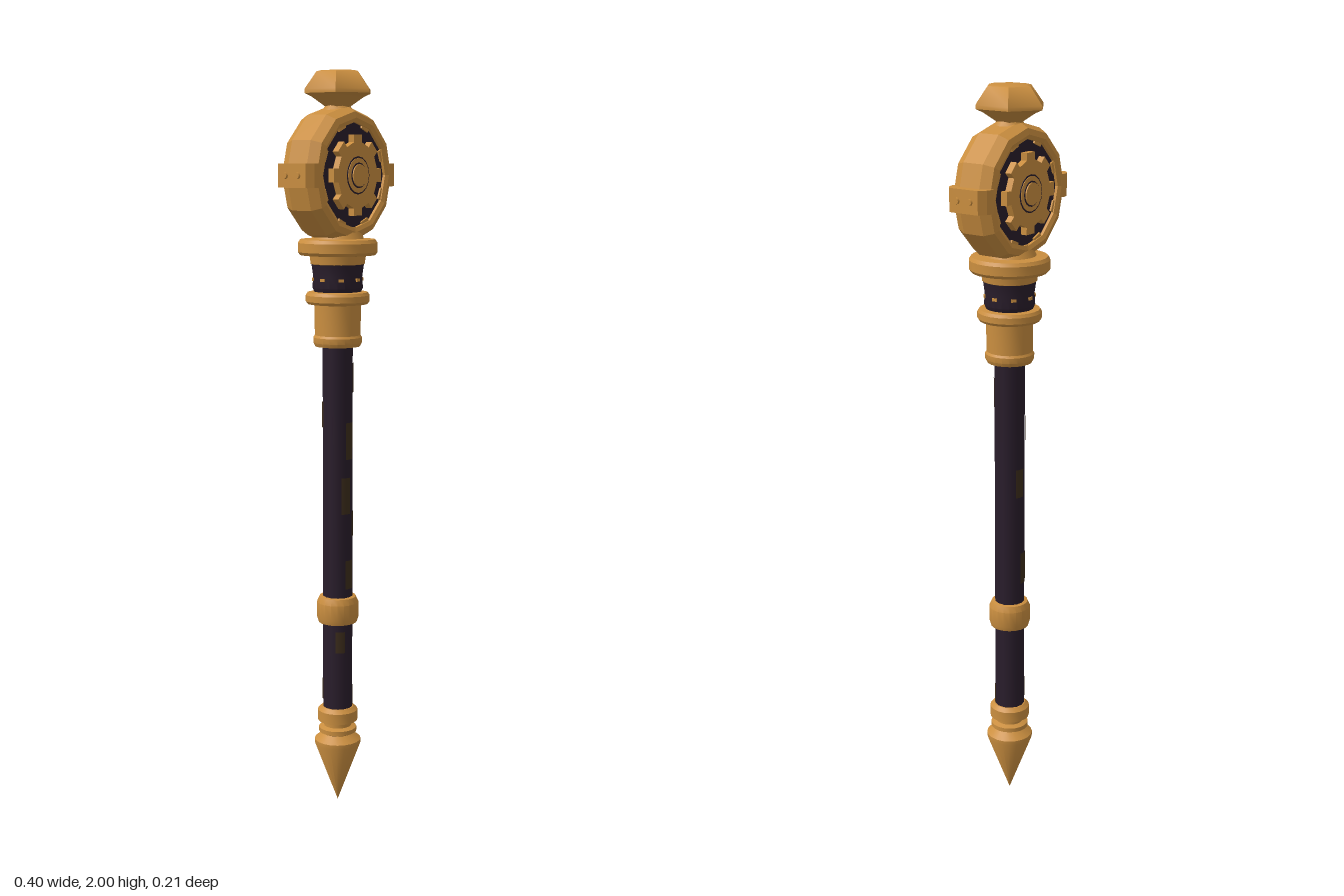
import * as THREE from 'three';
import { toCreasedNormals } from 'three/addons/utils/BufferGeometryUtils.js';

export function createModel() {
  const root = new THREE.Group();
  root.name = 'mace';

  const gold = new THREE.MeshStandardMaterial({ color: 0xcb8f40 });
  gold.name = 'gold';
  const dark = new THREE.MeshStandardMaterial({ color: 0x291d2b });
  dark.name = 'dark purple';
  const brown = new THREE.MeshStandardMaterial({ color: 0x3d2d1c });
  brown.name = 'worn brown';

  const add = (name, geo, mat, parent = root) => {
    const mesh = new THREE.Mesh(geo, mat);
    mesh.name = name;
    parent.add(mesh);
    return mesh;
  };
  // Turned part from [radius, height] points listed bottom to top
  const turned = (pts, sides = 20, crease = 0.5) =>
    toCreasedNormals(new THREE.LatheGeometry(pts.map(p => new THREE.Vector2(...p)), sides), crease);

  // Pointed foot
  add('spike', turned([[0, 0], [0.064, 0.17], [0.064, 0.182], [0.042, 0.2], [0.052, 0.205],
    [0.052, 0.217], [0.038, 0.222], [0.038, 0.232], [0.055, 0.238], [0.055, 0.268], [0.044, 0.278], [0, 0.278]]), gold);

  // Shaft with worn patches: height, length, angle
  add('shaft', turned([[0.041, 0.26], [0.041, 1.3]], 14), dark);
  const patches = [[0.31, 0.06, 0.4], [0.33, 0.06, 3.5], [0.47, 0.06, 5.2], [0.66, 0.08, 5.9], [0.7, 0.09, 3],
    [0.8, 0.07, 0.2], [0.88, 0.1, 5.6], [0.95, 0.08, 2.6], [1.03, 0.1, 5.9], [1.1, 0.07, 3.6], [1.2, 0.08, 0.3]];
  for (const [y, h, a] of patches) {
    const g = new THREE.CylinderGeometry(0.0422, 0.0422, h, 4, 1, true, a, 0.65);
    add('wornPatch', g.translate(0, y, 0), brown);
  }
  add('shaftRing', turned([[0.04, 0.518], [0.053, 0.522], [0.057, 0.535], [0.057, 0.578], [0.05, 0.594], [0.04, 0.596]]), gold);

  // Socket, grip band and round collar beneath the head
  add('socket', turned([[0.038, 1.284], [0.06, 1.284], [0.065, 1.294], [0.065, 1.308], [0.061, 1.314],
    [0.062, 1.395], [0.08, 1.397], [0.085, 1.404], [0.085, 1.42], [0.08, 1.428], [0.06, 1.43]]), gold);
  add('neckBand', turned([[0.062, 1.428], [0.067, 1.44], [0.065, 1.47], [0.07, 1.505]]), dark);
  for (let i = 0; i < 8; i++) {
    const stud = new THREE.BoxGeometry(0.014, 0.008, 0.008);
    add('bandStud', stud.translate(0, 1.462, 0.064).rotateY(i * Math.PI / 4), gold);
  }
  add('collar', turned([[0.066, 1.5], [0.072, 1.503], [0.075, 1.524], [0.1, 1.526], [0.106, 1.534],
    [0.106, 1.558], [0.1, 1.567], [0.07, 1.569], [0.055, 1.6], [0, 1.6]], 24), gold);

  // Round head, built about its own centre
  const head = new THREE.Group();
  head.name = 'head';
  head.position.y = 1.733;
  root.add(head);

  // Faceted outer ring
  const ring = turned([[0.136, -0.04], [0.136, -0.056], [0.147, -0.061], [0.163, -0.056], [0.177, -0.03],
    [0.177, 0.03], [0.163, 0.056], [0.147, 0.061], [0.136, 0.056], [0.136, 0.04]], 12, 0.05);
  add('outerRing', ring.rotateX(Math.PI / 2), gold, head);
  add('backing', new THREE.CylinderGeometry(0.142, 0.142, 0.096, 24).rotateX(Math.PI / 2), dark, head);

  // Short inward teeth on the ring, between the cog teeth
  for (let i = 0; i < 8; i++) {
    const tooth = new THREE.BoxGeometry(0.018, 0.03, 0.106);
    add('ringTooth', tooth.translate(0.134, 0, 0).rotateZ((i + 0.5) * Math.PI / 4), gold, head);
  }

  // Cog with eight square teeth, showing on both faces
  const outline = [];
  for (let i = 0; i < 8; i++) {
    const a = i * Math.PI / 4;
    for (const [r, t] of [[0.086, -0.2], [0.105, -0.17], [0.105, 0.17], [0.086, 0.2]]) {
      outline.push(new THREE.Vector2(r * Math.cos(a + t), r * Math.sin(a + t)));
    }
  }
  const cog = new THREE.ExtrudeGeometry(new THREE.Shape(outline), { depth: 0.132, bevelEnabled: false });
  add('cog', cog.translate(0, 0, -0.066), gold, head);

  // Hub made of stepped rings with narrow dark grooves
  const hub = [[0.049, 0.134, dark], [0.045, 0.137, gold], [0.033, 0.139, dark], [0.029, 0.146, gold]];
  for (const [r, depth, mat] of hub) {
    add('hub', new THREE.CylinderGeometry(r, r, depth, 16).rotateX(Math.PI / 2), mat, head);
  }

  // Side lugs with paired rivets
  for (const s of [1, -1]) {
    const half = [[0.14, 0.056], [0.158, 0.062], [0.175, 0.058], [0.194, 0.044]];
    const pts = [...half, ...half.map(([x, z]) => [x, -z]).reverse()];
    const lugShape = new THREE.Shape(pts.map(([x, z]) => new THREE.Vector2(s * x, z)));
    const lug = new THREE.ExtrudeGeometry(lugShape, { depth: 0.06, bevelEnabled: false });
    add('sideLug', lug.rotateX(Math.PI / 2).translate(0, 0.03, 0), gold, head);
    for (const z of [-0.02, 0.02]) {
      add('rivet', new THREE.CylinderGeometry(0.008, 0.009, 0.012, 8).rotateZ(-s * Math.PI / 2)
        .translate(s * 0.194, 0, z), gold, head);
    }
  }

  // Six-sided finial on a flared neck
  add('finialNeck', turned([[0.05, 1.885], [0.04, 1.9], [0.032, 1.912], [0.045, 1.93]], 12), gold);
  const finial = turned([[0.032, 1.905], [0.08, 1.934], [0.1, 1.942], [0.1, 1.952], [0.064, 1.997],
    [0.05, 2], [0, 2]], 6, 0.8);
  add('finial', finial.scale(0.88, 1, 1), gold);

  return root;
}
